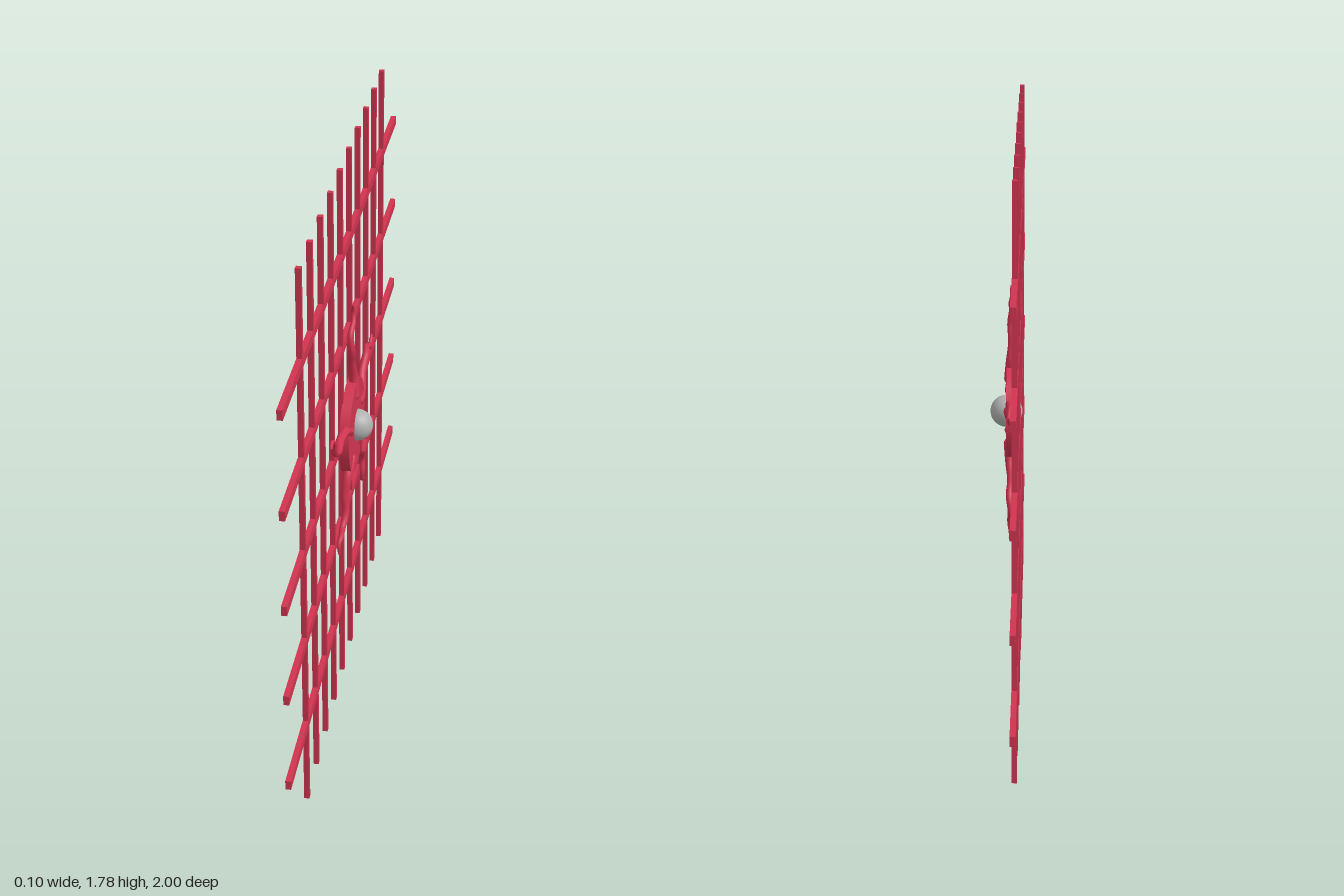
import * as THREE from 'three';

const CENTRE_Y = 0.895;

// Tapered wavy arm in the z-y plane, starting inside the disc and pointing up
function armGeometry() {
  const pts = [
    [0.000, 0.105, -0.012], [-0.012, 0.165, -0.016], [0.004, 0.222, -0.021],
    [0.025, 0.278, -0.016], [0.017, 0.322, -0.020], [-0.018, 0.352, -0.017],
    [-0.029, 0.380, -0.020], [-0.015, 0.407, -0.018],
  ].map(([z, y, x]) => new THREE.Vector3(x, y, z));
  const curve = new THREE.CatmullRomCurve3(pts);
  const steps = 40, sides = 10;
  const geo = new THREE.TubeGeometry(curve, steps, 1, sides, false);
  const pos = geo.attributes.position, v = new THREE.Vector3();
  for (let i = 0; i <= steps; i++) {
    const t = i / steps, c = curve.getPointAt(t);
    const r = 0.003 + 0.0135 * Math.pow(1 - t, 0.6);
    for (let j = 0; j <= sides; j++) {
      const k = i * (sides + 1) + j;
      v.fromBufferAttribute(pos, k).sub(c).multiplyScalar(r).add(c);
      pos.setXYZ(k, v.x, v.y, v.z);
    }
  }
  geo.computeVertexNormals();
  return geo;
}

export function createModel() {
  const model = new THREE.Group();
  model.name = 'sunLattice';
  const red = new THREE.MeshStandardMaterial({ name: 'crimson', color: 0xd0344f });
  const grey = new THREE.MeshStandardMaterial({ name: 'grey', color: 0xb0b0b0 });
  const add = (parent, name, geo, mat, x, y, z) => {
    const mesh = new THREE.Mesh(geo, mat);
    mesh.name = name;
    mesh.position.set(x, y, z);
    parent.add(mesh);
    return mesh;
  };

  // Lattice of bars
  const lattice = new THREE.Group();
  lattice.name = 'lattice';
  model.add(lattice);
  const rail = new THREE.BoxGeometry(0.0165, 0.03, 2);
  for (let i = -2; i <= 2; i++) add(lattice, 'horizontalBar', rail, red, -0.04, CENTRE_Y + i * 0.305, 0);
  const post = new THREE.BoxGeometry(0.016, 1.785, 0.016);
  for (let i = 0; i < 10; i++) add(lattice, 'verticalBar', post, red, -0.04, 0.8925, (i - 4.5) * 0.16);

  // Disc and ball at the centre
  const disc = add(model, 'disc', new THREE.CylinderGeometry(0.15, 0.15, 0.031, 48), red, -0.0195, CENTRE_Y, 0);
  disc.rotation.z = -Math.PI / 2;
  add(model, 'centreBall', new THREE.SphereGeometry(0.05, 32, 20), grey, -0.003, CENTRE_Y, 0);

  // Five wavy arms with rounded roots
  const armGeo = armGeometry();
  const rootGeo = new THREE.SphereGeometry(0.0165, 12, 8);
  for (let i = 0; i < 5; i++) {
    const arm = new THREE.Group();
    arm.name = 'arm';
    arm.position.y = CENTRE_Y;
    arm.rotation.x = i * Math.PI * 2 / 5;
    add(arm, 'armTube', armGeo, red, 0, 0, 0);
    add(arm, 'armRoot', rootGeo, red, -0.012, 0.105, 0);
    const tip = add(arm, 'armTip', new THREE.SphereGeometry(0.003, 8, 6), red, -0.018, 0.407, -0.015);
    tip.material = red;
    model.add(arm);
  }
  return model;
}
